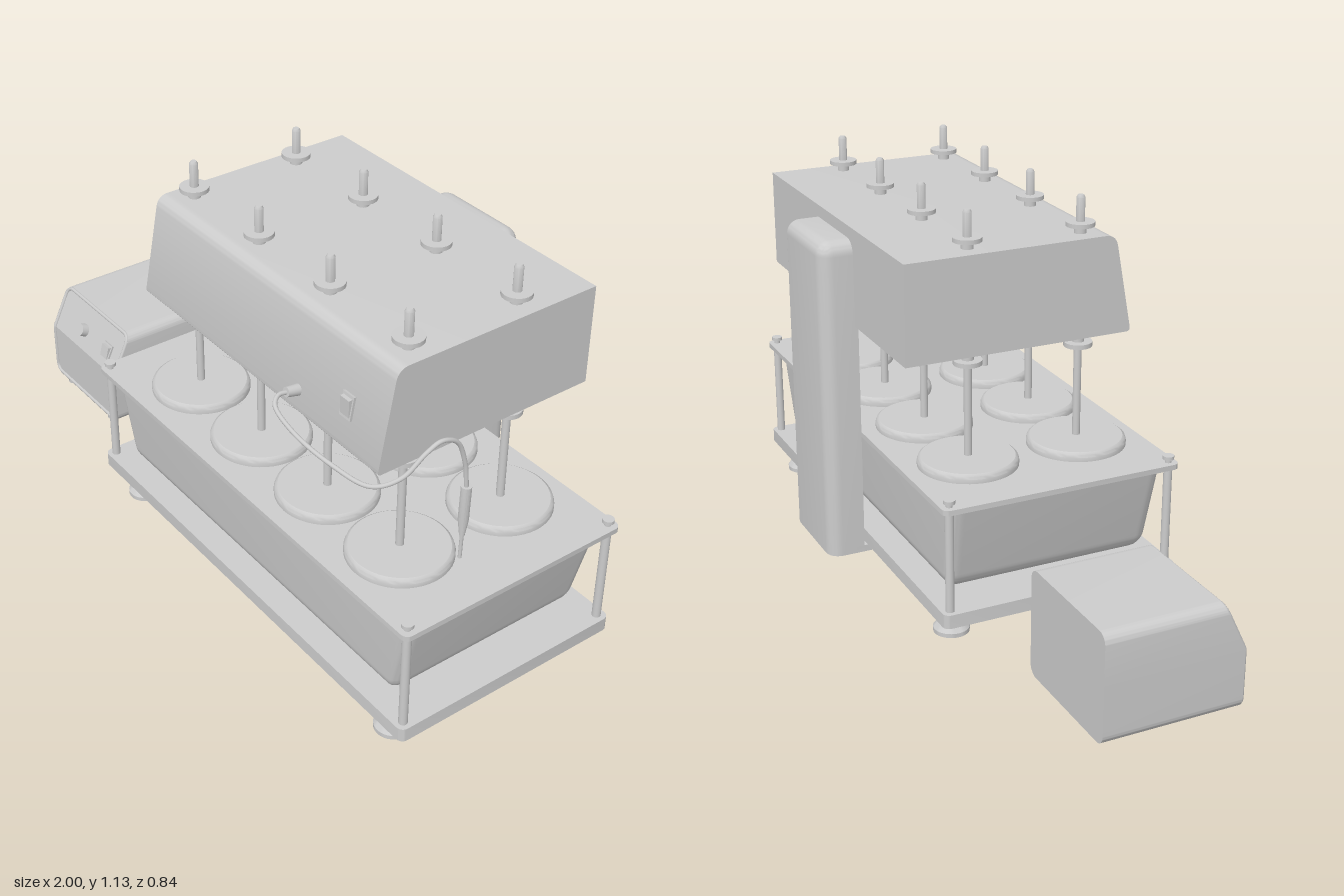
import * as THREE from 'three';
import { toCreasedNormals } from 'three/addons/utils/BufferGeometryUtils.js';
import { RoundedBoxGeometry } from 'three/addons/geometries/RoundedBoxGeometry.js';

export function createModel() {
  const model = new THREE.Group();
  const mat = new THREE.MeshStandardMaterial({ color: 0xcccccc });

  const add = (name, geo, x = 0, y = 0, z = 0, parent = model) => {
    const mesh = new THREE.Mesh(geo, mat);
    mesh.name = name;
    mesh.position.set(x, y, z);
    parent.add(mesh);
    return mesh;
  };
  // Box given by its lower and upper limits on each axis
  const box = (name, x0, x1, y0, y1, z0, z1) =>
    add(name, new THREE.BoxGeometry(x1 - x0, y1 - y0, z1 - z0), (x0 + x1) / 2, (y0 + y1) / 2, (z0 + z1) / 2);
  const lathe = (points, seg = 32) =>
    toCreasedNormals(new THREE.LatheGeometry(points.map(([r, y]) => new THREE.Vector2(r, y)), seg), 0.6);
  // Upright cylinder between two heights
  const post = (name, r, y0, y1, x, z, parent = model) =>
    add(name, new THREE.CylinderGeometry(r, r, y1 - y0, 24), x, (y0 + y1) / 2, z, parent);
  // Move each vertex by a rule, then rebuild the normals
  const reshape = (geo, rule) => {
    const p = geo.attributes.position, v = new THREE.Vector3();
    for (let i = 0; i < p.count; i++) {
      rule(v.fromBufferAttribute(p, i));
      p.setXYZ(i, v.x, v.y, v.z);
    }
    return toCreasedNormals(geo, 0.6);
  };

  const cx = 0.2925, cz = 0.0475; // centre of the bath

  // Flat plate with rounded corners
  const plate = (name, y0, y1) => {
    const w = 0.7025, d = 0.3525, r = 0.02, s = new THREE.Shape();
    s.absarc(w - r, d - r, r, 0, Math.PI / 2);
    s.absarc(r - w, d - r, r, Math.PI / 2, Math.PI);
    s.absarc(r - w, r - d, r, Math.PI, Math.PI * 1.5);
    s.absarc(w - r, r - d, r, Math.PI * 1.5, Math.PI * 2);
    const g = new THREE.ExtrudeGeometry(s, { depth: y1 - y0, bevelEnabled: false, curveSegments: 6 });
    add(name, toCreasedNormals(g.rotateX(-Math.PI / 2), 0.6), cx, y0, cz);
  };
  plate('basePlate', 0.07, 0.11);
  plate('tankTopPlate', 0.4, 0.415);

  // Water tank: rounded below, flat on top, narrowing downwards
  const tank = new RoundedBoxGeometry(2, 0.4, 0.7, 5, 0.045).translate(0, 0.33, 0);
  add('tank', reshape(tank, v => {
    v.y = Math.min(v.y, 0.4);
    const t = (v.y - 0.13) / 0.27;
    v.x *= 0.605 + 0.065 * t;
    v.z *= (0.306 + 0.012 * t) / 0.35;
  }), cx, 0, cz);

  // Adjustable feet and corner posts
  const footGeo = lathe([[0, 0], [0.05, 0], [0.05, 0.012], [0.025, 0.043], [0.022, 0.047], [0.022, 0.07], [0, 0.07]]);
  for (const sx of [-1, 1]) for (const sz of [-1, 1]) {
    add('baseFoot', footGeo, cx + sx * 0.59, 0, cz + sz * 0.285);
    const x = cx + sx * 0.678, z = cz + sz * 0.328;
    post('cornerPost', 0.012, 0.11, 0.4, x, z);
    post('postBolt', 0.009, 0.415, 0.43, x, z);
    post('postKnob', 0.016, 0.425, 0.435, x, z);
  }

  // Rear column on a flat tongue under the base
  box('columnTongue', 0.14, 0.44, 0.05, 0.07, -0.34, 0.01);
  const column = new RoundedBoxGeometry(0.3, 1.09, 0.22, 5, 0.04).translate(0.29, 0.445, -0.31);
  add('column', reshape(column, v => {
    v.y = Math.max(v.y, 0.05);
    v.z = Math.min(v.z, -0.315);
  }));

  // Drive head with sloping front
  const h = new THREE.Shape();
  h.moveTo(-0.325, 0.745);
  h.lineTo(0.33, 0.745);
  h.quadraticCurveTo(0.343, 0.745, 0.34, 0.76);
  h.lineTo(0.296, 0.995);
  h.quadraticCurveTo(0.29, 1.025, 0.258, 1.025);
  h.lineTo(-0.325, 1.025);
  const head = new THREE.ExtrudeGeometry(h, { depth: 1.015, bevelEnabled: false, curveSegments: 8 });
  add('driveHead', toCreasedNormals(head.rotateY(-Math.PI / 2), 0.6), 0.8);

  // Eight stirring stations: lid, rod and collars
  const lidGeo = lathe([[0, 0], [0.14, 0], [0.14, 0.012], [0.137, 0.02], [0.13, 0.025], [0, 0.025]], 48);
  for (let i = 0; i < 4; i++) for (const z of [0.213, -0.12]) {
    const x = -0.155 + i * 0.298, station = new THREE.Group();
    station.name = 'station';
    model.add(station);
    add('lid', lidGeo, x, 0.415, z, station);
    post('rod', 0.011, 0.43, 0.75, x, z, station);
    post('lowerFlange', 0.04, 0.704, 0.717, x, z, station);
    post('lowerCollar', 0.017, 0.717, 0.75, x, z, station);
    post('upperCollar', 0.017, 1.02, 1.045, x, z, station);
    post('upperFlange', 0.04, 1.045, 1.057, x, z, station);
    add('rodTop', lathe([[0.012, 0], [0.012, 0.068], [0.008, 0.075], [0, 0.075]], 24), x, 1.055, z, station);
  }

  // Rocker switch, tilted back to lie on a sloping panel
  const rockerSwitch = (x, y, z, tilt, w, ht) => {
    const g = new THREE.Group();
    g.name = 'rockerSwitch';
    g.position.set(x, y, z);
    g.rotation.x = -tilt;
    model.add(g);
    add('switchFrame', new THREE.BoxGeometry(w, ht, 0.008), 0, 0, 0, g);
    add('switchRocker', new THREE.BoxGeometry(w * 0.8, ht * 0.75, 0.012), 0, 0, 0.004, g).rotation.x = 0.2;
  };
  rockerSwitch(0.66, 0.86, 0.324, 0.185, 0.042, 0.065);

  // Temperature probe: socket, cable, handle and needle
  add('probeSocket', new THREE.CylinderGeometry(0.013, 0.016, 0.045, 20), 0.472, 0.806, 0.345).rotation.x = Math.PI / 2 - 0.18;
  const path = [
    [0.472, 0.808, 0.36], [0.472, 0.811, 0.39], [0.49, 0.8, 0.413], [0.56, 0.765, 0.413],
    [0.68, 0.725, 0.385], [0.78, 0.705, 0.345], [0.825, 0.732, 0.29], [0.84, 0.788, 0.23],
    [0.845, 0.808, 0.19], [0.845, 0.785, 0.14], [0.845, 0.71, 0.11], [0.845, 0.63, 0.1],
  ].map(p => new THREE.Vector3(...p));
  add('probeCable', new THREE.TubeGeometry(new THREE.CatmullRomCurve3(path), 100, 0.006, 10));
  const probe = lathe([[0, -0.24], [0.005, -0.24], [0.005, -0.15], [0.007, -0.15], [0.014, -0.1], [0.014, 0], [0, 0]], 20);
  add('probe', probe, 0.845, 0.635, 0.1).rotation.x = -0.03;

  // Control box: lower half upright, upper half with the front leaning back
  const bx = -0.81, hw = 0.19, r = 0.03, kink = 0.19, top = 0.325, bottom = 0.02, frontZ = 0.235;
  const panelZ = y => frontZ - 0.065 * Math.max(0, (y - kink) / (top - kink));
  const upper = new THREE.Shape(), lower = new THREE.Shape();
  upper.moveTo(-hw, kink).lineTo(hw, kink);
  upper.absarc(hw - r, top - r, r, 0, Math.PI / 2);
  upper.absarc(r - hw, top - r, r, Math.PI / 2, Math.PI);
  lower.moveTo(hw, kink).lineTo(-hw, kink);
  lower.absarc(r - hw, bottom + r, r, Math.PI, Math.PI * 1.5);
  lower.absarc(hw - r, bottom + r, r, Math.PI * 1.5, Math.PI * 2);
  for (const [name, shape] of [['controlBoxUpper', upper], ['controlBoxLower', lower]]) {
    const g = new THREE.ExtrudeGeometry(shape, { depth: 1, bevelEnabled: false, curveSegments: 8 });
    add(name, reshape(g, v => { v.z = v.z > 0.5 ? panelZ(v.y) : -0.16; }), bx);
  }

  // Raised rim around the control panel
  const inset = 0.006, rim = [];
  for (const [sx, sy, a] of [[1, 1, 0], [-1, 1, 1], [-1, -1, 2], [1, -1, 3]]) {
    if (a === 0 || a === 2) rim.push([sx * (hw - inset), kink]);
    for (let k = 0; k <= 4; k++) {
      const t = (a + k / 4) * Math.PI / 2;
      rim.push([sx * (hw - r) + (r - inset) * Math.cos(t),
        (sy > 0 ? top - r : bottom + r) + (r - inset) * Math.sin(t)]);
    }
  }
  const rimPath = new THREE.CurvePath();
  const rimPoints = rim.map(([x, y]) => new THREE.Vector3(x, y, panelZ(y)));
  rimPoints.forEach((p, i) => rimPath.add(new THREE.LineCurve3(p, rimPoints[(i + 1) % rimPoints.length])));
  add('panelRim', new THREE.TubeGeometry(rimPath, 160, 0.006, 8, true), bx);

  // Panel controls and small feet
  add('knob', new THREE.CylinderGeometry(0.019, 0.021, 0.03, 24), -0.84, 0.247, 0.215).rotation.x = Math.PI / 2 - 0.449;
  rockerSwitch(-0.7, 0.24, 0.213, 0.449, 0.046, 0.052);
  for (const x of [-0.935, -0.685]) for (const z of [0.215, -0.12]) post('controlBoxFoot', 0.016, 0, 0.025, x, z);

  return model;
}
